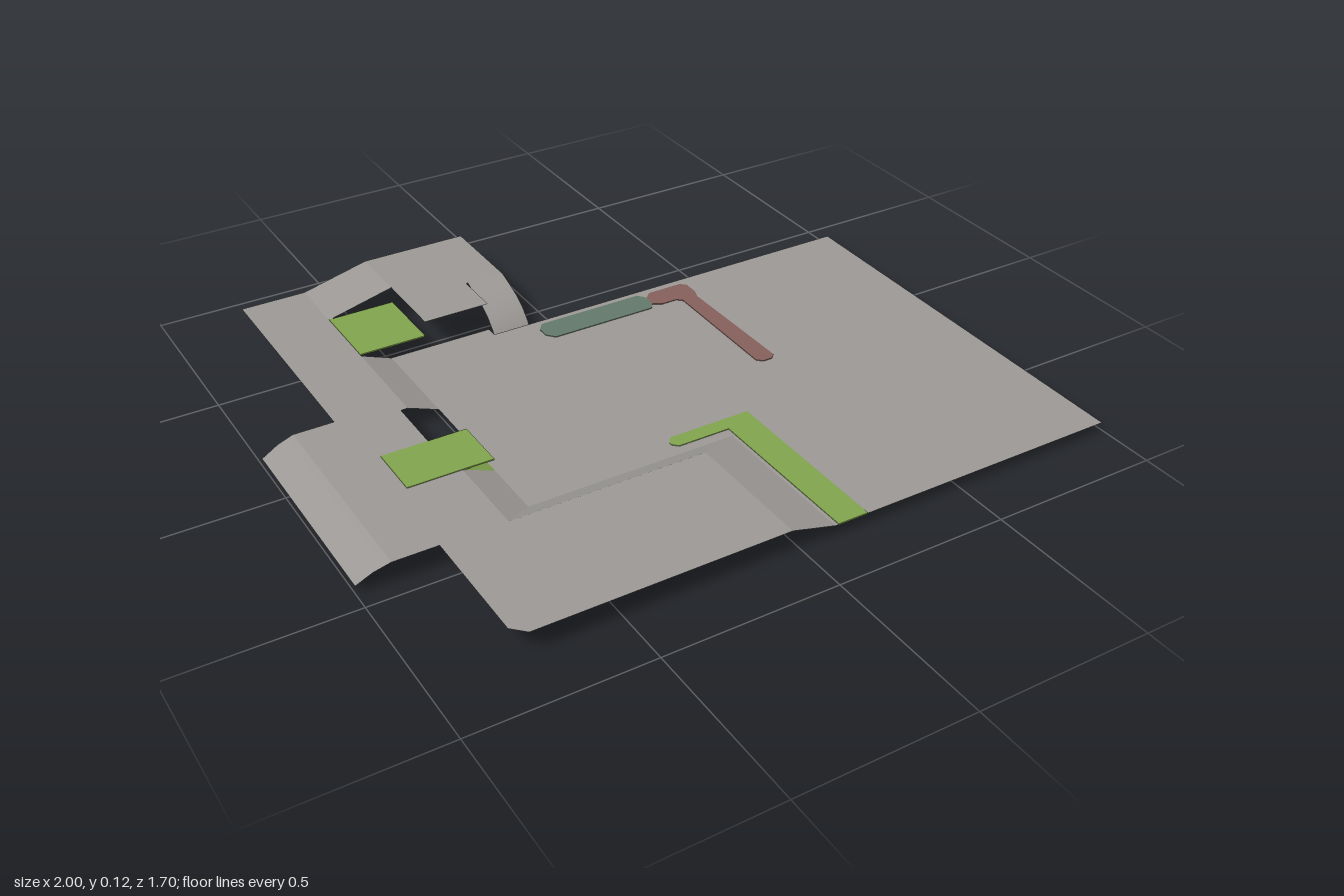
import * as THREE from 'three';

const LOW = 0.035, MID = 0.07, HIGH = 0.12;

function material(name, color) {
  const m = new THREE.MeshStandardMaterial({ color, side: THREE.DoubleSide });
  m.name = name;
  return m;
}

export function createModel() {
  const group = new THREE.Group();
  const grey = material('ground grey', 0x9b9895);
  const green = material('path green', 0x80a34d);
  const red = material('path red', 0x865f5b);
  const teal = material('path teal', 0x63796a);

  function add(name, geometry, mat) {
    const mesh = new THREE.Mesh(geometry, mat);
    mesh.name = name;
    group.add(mesh);
  }

  // Upward-facing sheet from corners [x, z, optional height]
  function sheet(name, mat, corners, y = 0) {
    const flat = corners.map(([x, z]) => new THREE.Vector2(x, -z));
    const ccw = THREE.ShapeUtils.area(flat) > 0;
    if (!ccw) { flat.reverse(); corners = [...corners].reverse(); }
    const g = new THREE.BufferGeometry();
    g.setAttribute('position', new THREE.Float32BufferAttribute(
      corners.flatMap(([x, z, h = y]) => [x, h, z]), 3));
    g.setIndex(THREE.ShapeUtils.triangulateShape(flat, []).flat());
    g.computeVertexNormals();
    add(name, g, mat);
  }

  // Thin painted plate lying at height y, showing on both faces
  function paint(name, mat, corners, y) {
    const shape = new THREE.Shape(corners.map(([x, z]) => new THREE.Vector2(x, -z)));
    const g = new THREE.ExtrudeGeometry(shape, { depth: 0.004, bevelEnabled: false });
    g.rotateX(-Math.PI / 2).translate(0, y - 0.002, 0);
    add(name, g, mat);
  }

  const rect = (x0, x1, z0, z1) => [[x0, z0], [x0, z1], [x1, z1], [x1, z0]];

  // Smooth curved sheet between two rails of [x, y, z] points
  function ribbon(name, mat, railA, railB) {
    const pos = [], index = [];
    railA.forEach((p, i) => {
      pos.push(...p, ...railB[i]);
      if (i) {
        const k = 2 * i;
        index.push(k - 2, k, k - 1, k - 1, k, k + 1);
      }
    });
    const g = new THREE.BufferGeometry();
    g.setAttribute('position', new THREE.Float32BufferAttribute(pos, 3));
    g.setIndex(index);
    g.computeVertexNormals();
    add(name, g, mat);
  }

  // Main levels
  sheet('lowerGround', grey, [[-0.51, -0.43], [-0.2, -0.43], [-0.2, -0.395], [0.995, -0.395],
    [0.985, 0.845], [0.1, 0.845], [0.1, 0.39], [-0.51, 0.39]], LOW);
  sheet('middleGround', grey, [[-0.795, -0.85], [-0.6, -0.85], [-0.6, -0.12], [-0.62, -0.12],
    [-0.62, 0.05], [-0.6, 0.05], [-0.6, 0.46], [-0.03, 0.46], [-0.03, 0.845], [-0.75, 0.845],
    [-0.785, 0.81], [-0.785, 0.46], [-0.91, 0.46], [-0.91, -0.16], [-0.795, -0.16]], MID);
  sheet('upperGround', grey, [[-0.4, -0.85], [-0.08, -0.85], [-0.08, -0.57], [-0.2, -0.57],
    [-0.2, -0.43], [-0.4, -0.43]], HIGH);

  // Slopes from the middle level down to the lower one
  const slope = (name, mat, a, b, c, d) =>
    sheet(name, mat, [[...a, MID], [...b, MID], [...c, LOW], [...d, LOW]]);
  slope('sideSlopeBack', grey, [-0.6, -0.43], [-0.6, -0.12], [-0.51, -0.12], [-0.51, -0.43]);
  slope('greenSlope', green, [-0.6, 0.05], [-0.6, 0.21], [-0.51, 0.21], [-0.51, 0.05]);
  slope('sideSlopeFront', grey, [-0.6, 0.21], [-0.6, 0.46], [-0.51, 0.39], [-0.51, 0.21]);
  slope('innerSlope', grey, [-0.6, 0.46], [-0.03, 0.46], [0.1, 0.39], [-0.51, 0.39]);
  slope('frontSlope', grey, [-0.03, 0.46], [-0.03, 0.845], [0.1, 0.845], [0.1, 0.39]);

  // Slope from the middle level up to the upper one
  sheet('upperSlope', grey, [[-0.6, -0.85, MID], [-0.6, -0.66, MID],
    [-0.4, -0.66, HIGH], [-0.4, -0.85, HIGH]]);

  // Drooping side flap
  const flap = [[-0.91, 0.07, 0.46], [-0.955, 0.053, 0.453], [-1, 0.025, 0.445]];
  ribbon('sideFlap', grey, flap.map(([x, y]) => [x, y, -0.16]), flap);

  // Curved ramp running down from the upper level
  const ramp = [[0.12, -0.57], [0.107, -0.53], [0.09, -0.485], [0.065, -0.445],
    [0.035, -0.415], [0, -0.395]];
  ribbon('curvedRamp', grey, ramp.map(([y, z]) => [-0.195, y, z]),
    ramp.map(([y, z]) => [-0.08, y, z]));

  // Green platforms
  paint('sidePlatform', green, rect(-0.755, -0.51, 0.05, 0.21), MID);
  paint('backPlatform', green, rect(-0.6, -0.4, -0.66, -0.435), MID);

  // Painted paths
  paint('greenPath', green, [[-0.06, 0.335], [-0.045, 0.315], [0.2, 0.315], [0.2, 0.845],
    [0.11, 0.845], [0.11, 0.36], [-0.045, 0.36], [-0.06, 0.345]], LOW);
  paint('redPath', red, [[0.29, -0.35], [0.31, -0.37], [0.42, -0.37], [0.435, -0.355],
    [0.435, -0.31], [0.425, -0.28], [0.43, 0.11], [0.415, 0.125], [0.385, 0.125], [0.37, 0.11],
    [0.375, -0.28], [0.36, -0.295], [0.31, -0.295], [0.285, -0.31]], LOW);
  paint('tealPath', teal, [[-0.075, -0.35], [-0.055, -0.375], [0.27, -0.375], [0.29, -0.35],
    [0.285, -0.31], [0.27, -0.29], [-0.055, -0.29], [-0.075, -0.315]], LOW);

  return group;
}
